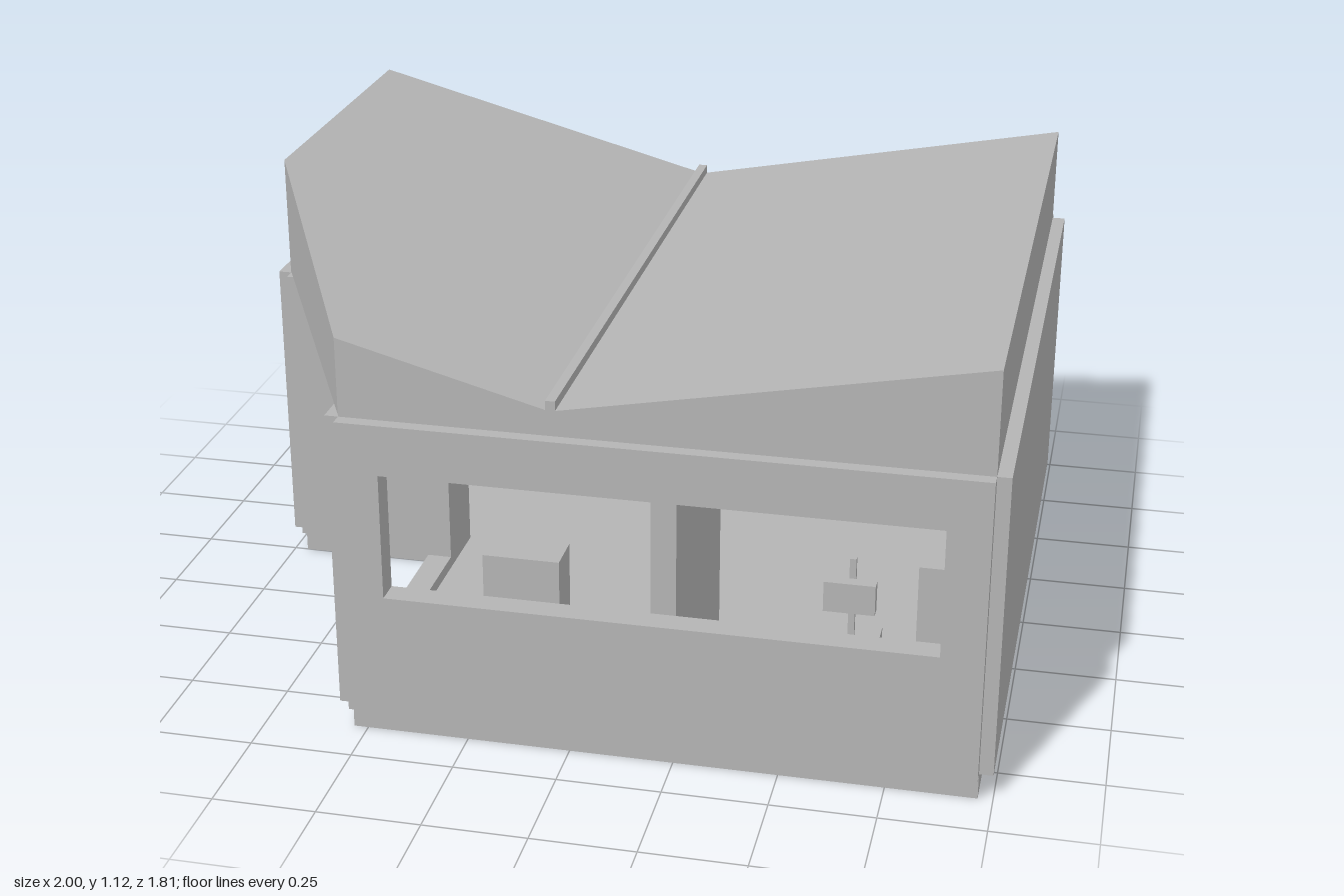
import * as THREE from 'three';

const grey = new THREE.MeshStandardMaterial({ color: 0xb4b4b4 });
grey.name = 'plain grey';

// Footprint: x and z limits, with a notch at the front corner on the -x side
const X = 0.965, BACK = -0.875, FRONT = 0.87, NOTCH = -0.535, VALLEY = -0.035;
const FLOOR = 0.07, EAVES = 0.82;

function add(parent, name, geometry) {
  const mesh = new THREE.Mesh(geometry, grey);
  mesh.name = name;
  parent.add(mesh);
  return mesh;
}

function box(parent, name, x0, x1, y0, y1, z0, z1) {
  const mesh = add(parent, name, new THREE.BoxGeometry(x1 - x0, y1 - y0, z1 - z0));
  mesh.position.set((x0 + x1) / 2, (y0 + y1) / 2, (z0 + z1) / 2);
  return mesh;
}

// Prism standing on a plan outline of [x, z] points
function prism(points, y0, y1) {
  const shape = new THREE.Shape(points.map(([x, z]) => new THREE.Vector2(x, -z)));
  const geometry = new THREE.ExtrudeGeometry(shape, { depth: y1 - y0, bevelEnabled: false });
  return geometry.rotateX(-Math.PI / 2).translate(0, y0, 0);
}

// Upright sheet from u0 to u1 with rectangular openings [u0, u1, y0, y1]
function sheet(u0, u1, y0, y1, d0, d1, openings) {
  const rect = (Type, a, b, c, d) => new Type([
    new THREE.Vector2(a, c), new THREE.Vector2(b, c), new THREE.Vector2(b, d), new THREE.Vector2(a, d)]);
  const shape = rect(THREE.Shape, u0, u1, y0, y1);
  shape.holes = openings.map((o) => rect(THREE.Path, ...o));
  return new THREE.ExtrudeGeometry(shape, { depth: d1 - d0, bevelEnabled: false }).translate(0, 0, d0);
}

// Wall with an inner core and a raised outer panel, at distance d along its outward normal
function wall(parent, name, turn, d, u0, u1, openings = [], coreStart = u0, coreEnd = u1) {
  const group = new THREE.Group();
  group.name = name;
  group.rotation.y = turn;
  add(group, name + 'Core', sheet(coreStart, coreEnd, 0.005, EAVES, d - 0.03, d, openings));
  add(group, name + 'Panel', sheet(u0, u1, 0.065, 0.815, d, d + 0.033, openings));
  parent.add(group);
}

function roofHeight(x) {
  return x < VALLEY
    ? 0.875 + (VALLEY - x) / (VALLEY + X) * 0.25
    : 0.875 + (x - VALLEY) / (X - VALLEY) * 0.19;
}

// Half of the butterfly roof: a prism whose top is lifted to the slope
function roofHalf(points) {
  const geometry = prism(points, EAVES, 0.9);
  const p = geometry.attributes.position;
  for (let i = 0; i < p.count; i++) {
    if (p.getY(i) > 0.86) p.setY(i, roofHeight(p.getX(i)));
  }
  geometry.computeVertexNormals();
  return geometry;
}

export function createModel() {
  const house = new THREE.Group();
  house.name = 'house';
  const quarter = Math.PI / 2;

  // Floor slab
  add(house, 'floor', prism([[-X, BACK], [-X, 0], [NOTCH, 0], [NOTCH, FRONT], [X, FRONT], [X, BACK]], 0, FLOOR));

  // Outer walls with windows and doors
  wall(house, 'frontWall', 0, FRONT, NOTCH, X, [[-0.435, 0.865, 0.375, 0.69]]);
  wall(house, 'leftWall', quarter, X, -FRONT, -BACK);
  wall(house, 'backWall', Math.PI, -BACK, -X, X, [[-0.145, 0.28, 0.1, 0.73]]);
  wall(house, 'rightWall', -quarter, X, BACK, 0, [[-0.775, -0.1, 0.375, 0.69]]);
  wall(house, 'porchWall', 0, 0, -X, NOTCH - 0.033, [], -X, NOTCH + 0.03);
  wall(house, 'porchDoorWall', -quarter, -NOTCH, 0, FRONT, [[0.15, 0.72, 0.1, 0.73]], -0.03, FRONT);

  // Butterfly roof, cut diagonally over the porch, with a valley rail
  add(house, 'roofRight', roofHalf([[-X, BACK], [-X, 0], [NOTCH, FRONT], [VALLEY, FRONT], [VALLEY, BACK]]));
  add(house, 'roofLeft', roofHalf([[VALLEY, BACK], [VALLEY, FRONT], [X, FRONT], [X, BACK]]));
  box(house, 'valleyRail', -0.045, -0.022, 0.86, 0.9, BACK, FRONT);

  // Room divider
  box(house, 'partition', 0.19, 0.25, FLOOR, EAVES, 0.3, 0.84);

  // Furniture behind the front window
  box(house, 'sideboard', -0.225, -0.04, FLOOR, 0.455, 0.69, 0.79);
  box(house, 'chairBack', 0.58, 0.7, 0.39, 0.465, 0.74, 0.77);
  box(house, 'chairPost', 0.635, 0.65, FLOOR, 0.515, 0.725, 0.74);
  box(house, 'chairSeat', 0.58, 0.7, 0.24, 0.27, 0.6, 0.74);
  box(house, 'cabinet', 0.79, 0.935, FLOOR, 0.49, 0.45, 0.7);

  return house;
}
